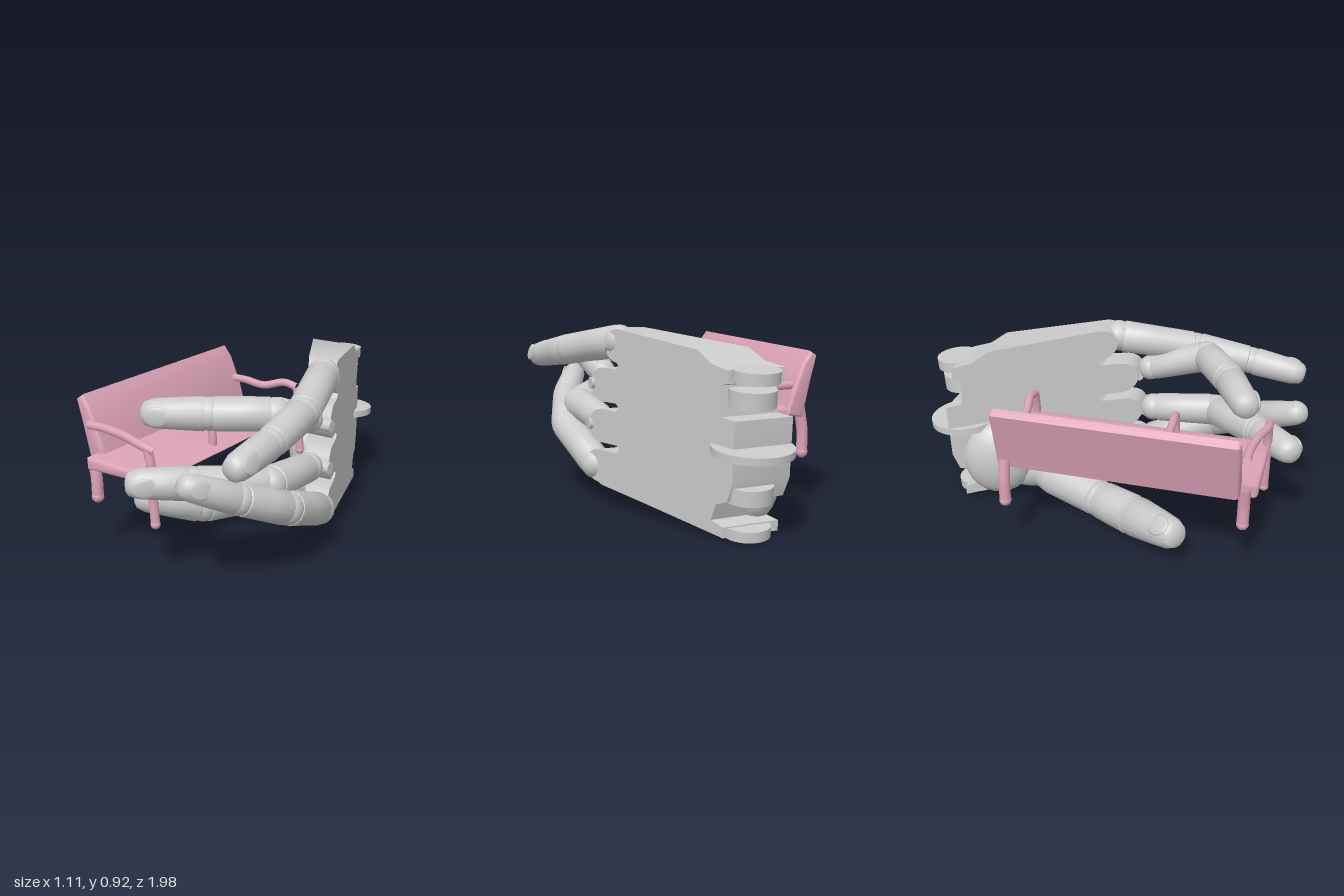
import * as THREE from 'three';
import { toCreasedNormals } from 'three/addons/utils/BufferGeometryUtils.js';

const V = (a) => new THREE.Vector3(...a);
const UP = new THREE.Vector3(0, 1, 0);

export function createModel() {
  const model = new THREE.Group();
  const grey = new THREE.MeshStandardMaterial({ color: 0xcccccc });
  const pink = new THREE.MeshStandardMaterial({ color: 0xdca3b7 });

  const add = (name, geo, mat = grey, parent = model) => {
    const mesh = new THREE.Mesh(geo, mat);
    mesh.name = name;
    parent.add(mesh);
    return mesh;
  };

  // Tapered finger bone with rounded ends, running from a to b
  const bone = (name, a, b, r0, r1, parent, tip) => {
    const A = V(a), B = V(b), L = A.distanceTo(B), e = tip ? 0.06 : 0.02;
    const pts = [[0, 0], [r0 * 0.8, 0], [r0, 0.03], [(r0 + r1) * 0.5, L * 0.5],
      [r1, L - e], [r1 * 0.8, L - e * 0.3], [r1 * 0.5, L - e * 0.05], [0, L]];
    const geo = toCreasedNormals(new THREE.LatheGeometry(pts.map(p => new THREE.Vector2(...p)), 16), 0.7);
    const mesh = add(name, geo, grey, parent);
    mesh.position.copy(A);
    mesh.quaternion.setFromUnitVectors(UP, B.clone().sub(A).normalize());
  };

  // Finger: bones between joints, ball joints and a nail on the given side
  const finger = (name, joints, radii, nailSide) => {
    const g = new THREE.Group();
    g.name = name;
    model.add(g);
    const last = joints.length - 2;
    for (let i = 0; i <= last; i++) {
      bone('fingerBone', joints[i], joints[i + 1], radii[i], radii[i + 1], g, i === last);
      add('fingerJoint', new THREE.SphereGeometry(radii[i] * 0.97, 16, 10), grey, g).position.set(...joints[i]);
    }
    const a = V(joints[last]), b = V(joints[last + 1]);
    const dir = b.clone().sub(a).normalize();
    const out = V(nailSide).addScaledVector(dir, -V(nailSide).dot(dir)).normalize();
    const r = radii[last + 1];
    const nail = add('fingernail', new THREE.SphereGeometry(1, 16, 10), grey, g);
    nail.scale.set(r * 0.7, r * 0.9, r * 0.18);
    nail.position.copy(b).addScaledVector(dir, -0.085).addScaledVector(out, r * 0.9);
    nail.quaternion.setFromRotationMatrix(
      new THREE.Matrix4().makeBasis(new THREE.Vector3().crossVectors(dir, out), dir, out));
  };

  // Palm plate: side outline as (z, y) with rounded knuckle lobes, slots and wrist notches
  const outline = [[-0.78, 0.03], [-0.3, 0.09], [0.0, 0.125]];
  const lobes = [[0.02, 0.22, 0.085], [0.0, 0.43, 0.085], [-0.02, 0.64, 0.085], [-0.12, 0.84, 0.082]];
  lobes.forEach(([z, y, r], i) => {
    for (let k = 0; k <= 10; k++) {
      const t = -Math.PI / 2 + Math.PI * k / 10;
      outline.push([z + Math.cos(t) * r, y + Math.sin(t) * r]);
    }
    if (i < 3) outline.push([-0.11, y + r], [-0.13, y + r + 0.02], [-0.11, y + r + 0.04]);
  });
  outline.push([-0.63, 0.865], [-0.71, 0.81], [-0.8, 0.79], [-0.8, 0.73], [-0.76, 0.72], [-0.77, 0.58],
    [-0.84, 0.57], [-0.83, 0.29], [-0.8, 0.2], [-0.74, 0.18], [-0.71, 0.1], [-0.78, 0.08]);
  const shape = new THREE.Shape(outline.map(([z, y]) => new THREE.Vector2(-z, y)));
  // Slant the plate and thicken it toward the wrist
  const palm = new THREE.ExtrudeGeometry(shape, { depth: 1, bevelEnabled: false });
  const pos = palm.attributes.position;
  for (let i = 0; i < pos.count; i++) {
    const z = -pos.getX(i), c = pos.getZ(i);
    pos.setXYZ(i, 0.432 + 0.365 * z - (1 - c) * (0.145 - 0.18 * z), pos.getY(i), z);
  }
  palm.computeVertexNormals();
  add('palm', toCreasedNormals(palm, 0.6));

  // Wrist hinge plates and the larger middle disc
  [[0.765, 0.055, 0.11, -0.83], [0.665, 0.08, 0.11, -0.8], [0.43, 0.035, 0.19, -0.81],
    [0.23, 0.075, 0.11, -0.78], [0.05, 0.05, 0.11, -0.76]].forEach(([y, h, r, z]) => {
    const plate = add('wristHingePlate', new THREE.CylinderGeometry(r, r, h, 40));
    plate.position.set(0.015, y, z);
    plate.rotation.x = -0.08;
  });

  // Knuckle pins carrying the fingers
  lobes.forEach(([z, y]) => {
    const pin = add('knucklePin', new THREE.CylinderGeometry(0.03, 0.03, 0.13, 16));
    pin.rotation.z = Math.PI / 2;
    pin.position.set(0.39 + 0.365 * (z + 0.04), y, z + 0.08);
  });

  // Fingers
  finger('indexFinger', [[0.345, 0.857, -0.05], [0.465, 0.785, 0.34], [0.485, 0.735, 0.64], [0.475, 0.69, 0.93]],
    [0.083, 0.08, 0.073, 0.065], [1, 0.2, 0.6]);
  finger('middleFinger', [[0.37, 0.68, 0.12], [0.37, 0.785, 0.42], [0.12, 0.785, 0.58], [-0.165, 0.775, 0.72]],
    [0.068, 0.08, 0.08, 0.069], [0.4, 0, 1]);
  finger('ringFinger', [[0.38, 0.44, 0.14], [0.38, 0.47, 0.48], [0.14, 0.505, 0.74], [-0.08, 0.525, 0.95]],
    [0.075, 0.083, 0.08, 0.069], [0.5, 0, 1]);
  finger('littleFinger', [[0.42, 0.215, 0.1], [0.46, 0.36, 0.46], [0.375, 0.475, 0.72], [0.23, 0.595, 0.96]],
    [0.083, 0.083, 0.074, 0.062], [0.8, 0.3, 0.7]);

  // Thumb with its swollen base
  finger('thumb', [[0.05, 0.145, -0.34], [-0.11, 0.115, -0.03], [-0.23, 0.125, 0.19], [-0.46, 0.205, 0.46]],
    [0.125, 0.1, 0.105, 0.08], [-0.6, 0.7, -0.2]);
  const mound = add('thumbMound', new THREE.SphereGeometry(1, 24, 16));
  mound.scale.set(0.12, 0.215, 0.19);
  mound.position.set(-0.05, 0.25, -0.61);
  mound.rotation.y = 0.35;
  const web = add('thumbWeb', new THREE.SphereGeometry(1, 24, 16));
  web.scale.set(0.11, 0.12, 0.24);
  web.position.set(0.06, 0.16, -0.44);
  web.rotation.y = 0.3;

  // Bench: seat and leaning back swept along its length
  const bench = new THREE.Group();
  bench.name = 'bench';
  model.add(bench);
  const sweep = (name, pts, z0, z1) => {
    const s = new THREE.Shape(pts.map(p => new THREE.Vector2(...p)));
    const geo = new THREE.ExtrudeGeometry(s, { depth: z1 - z0, bevelSize: 0.015, bevelThickness: 0.02, bevelSegments: 3 });
    geo.translate(0, 0, z0);
    add(name, toCreasedNormals(geo, 0.8), pink, bench);
  };
  sweep('benchSeat', [[-0.42, 0.485], [-0.2, 0.487], [-0.03, 0.5], [0.0, 0.515], [-0.04, 0.525], [-0.2, 0.51], [-0.42, 0.515]], -0.41, 0.8);
  sweep('benchBack', [[-0.47, 0.49], [-0.405, 0.5], [-0.43, 0.59], [-0.49, 0.74], [-0.525, 0.785], [-0.54, 0.775], [-0.51, 0.66]], -0.42, 0.72);

  const rod = (name, pts, r) => add(name, new THREE.TubeGeometry(
    new THREE.CatmullRomCurve3(pts.map(V)), 20, r, 10), pink, bench);
  const foot = (p, r) => add('benchFoot', new THREE.SphereGeometry(r, 12, 8), pink, bench).position.set(...p);

  // End frames: legs with blunt feet and a curved armrest each
  [[-0.4, -0.4, -0.5, 0.005, 0.635, 0.285], [0.76, 0.81, -0.43, -0.03, 0.675, 0.31]].forEach(([zb, zf, xb, xf, arm, low]) => {
    rod('benchBackLeg', [[xb, low, zb], [xb, 0.4, zb], [xb * 0.5 - 0.23, 0.52, zb]], 0.029);
    foot([xb, low + 0.005, zb], 0.031);
    rod('benchFrontLeg', [[xf, 0.285, zf], [xf - 0.01, 0.45, zf], [xf - 0.015, 0.58, zf], [xf - 0.03, 0.645, zf]], 0.022);
    foot([xf, 0.288, zf], 0.024);
    rod('benchArmrest', [[-0.46, arm, zb], [-0.36, arm, zb], [-0.22, arm - 0.005, zb + 0.02],
      [-0.1, 0.66, zf], [-0.02, 0.645, zf]], 0.021);
  });
  // Slim armrest dividing the seat
  rod('benchMiddleArm', [[-0.36, 0.66, 0.37], [-0.2, 0.655, 0.36], [-0.06, 0.645, 0.35], [-0.04, 0.59, 0.35], [-0.04, 0.51, 0.35]], 0.02);

  return model;
}
